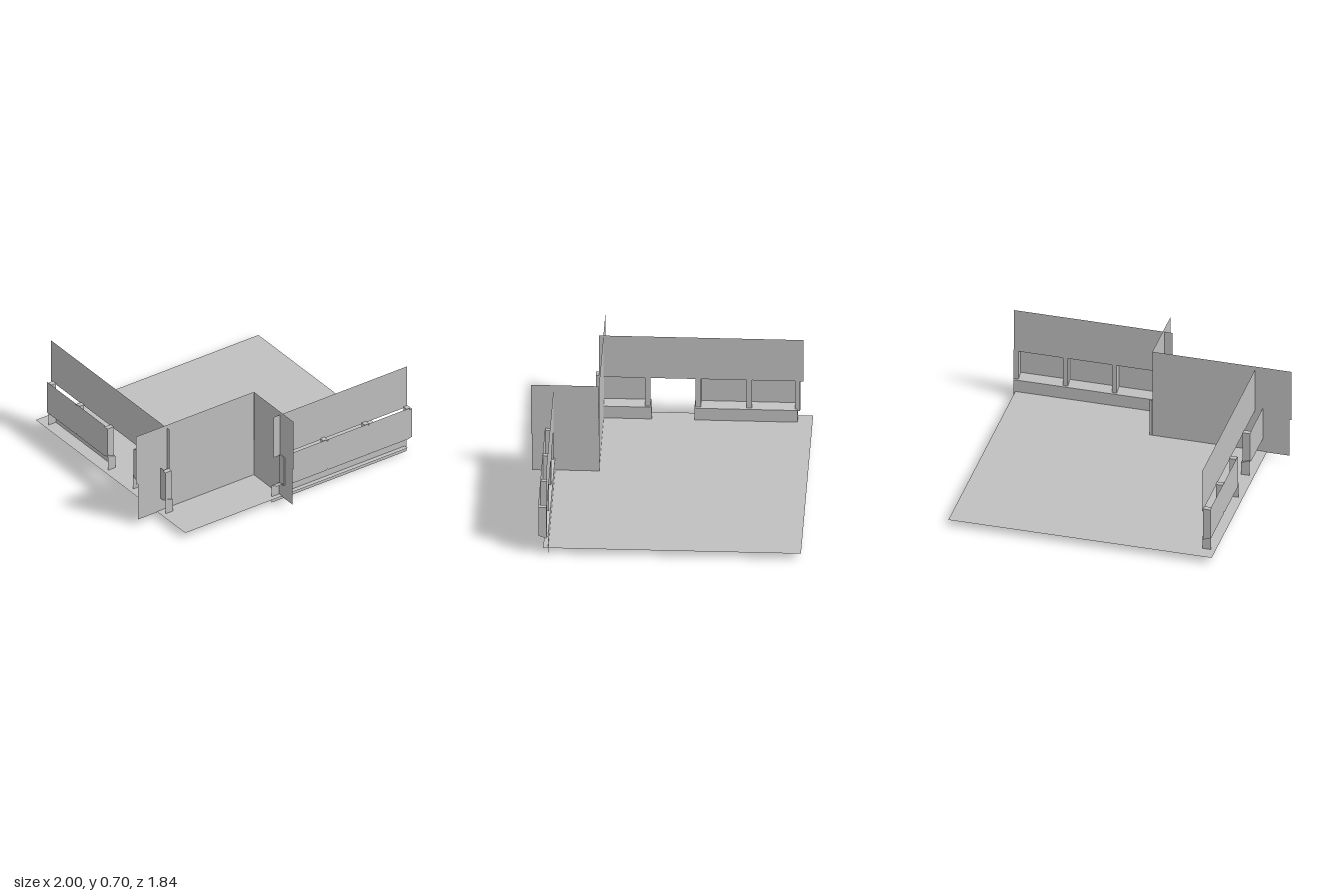
import * as THREE from 'three';

const grey = new THREE.MeshStandardMaterial({ color: 0xbfbfbf, side: THREE.DoubleSide });
grey.name = 'plainGrey';

// Single flat face from four corners
function quad(parent, name, a, b, c, d) {
  const geo = new THREE.BufferGeometry();
  geo.setAttribute('position', new THREE.Float32BufferAttribute([a, b, c, d].flat(), 3));
  geo.setIndex([0, 1, 2, 0, 2, 3]);
  geo.computeVertexNormals();
  const mesh = new THREE.Mesh(geo, grey);
  mesh.name = name;
  parent.add(mesh);
}

// Upright sheet facing +z
function sheet(parent, name, x0, x1, y0, y1, z) {
  quad(parent, name, [x0, y0, z], [x1, y0, z], [x1, y1, z], [x0, y1, z]);
}

// Window wall running along x with its outside towards +z
function windowWall(name, o) {
  const wall = new THREE.Group();
  wall.name = name;
  const { inner, outer } = o;
  sheet(wall, 'upperWall', ...o.upper, 0.355, 0.673, inner + 0.01);

  // Low wall with a sill that falls towards the inside
  for (const [a, b] of o.bases) {
    sheet(wall, 'lowWall', a, b, 0, 0.135, inner);
    quad(wall, 'sill', [a, 0.135, inner], [b, 0.135, inner], [b, 0.16, outer], [a, 0.16, outer]);
  }
  for (const u of o.caps) {
    quad(wall, 'lowWallEnd', [u, 0, inner], [u, 0.015, outer], [u, 0.16, outer], [u, 0.135, inner]);
  }

  // Posts with sloping feet that follow the sill
  for (const u of o.posts) {
    const w = o.postWidth, d = outer - inner - 0.01;
    const geo = new THREE.BoxGeometry(w, 0.225, d);
    const p = geo.attributes.position;
    for (let i = 0; i < p.count; i++) {
      if (p.getY(i) < 0) p.setY(i, p.getZ(i) > 0 ? -0.1075 : -0.1275);
    }
    geo.computeVertexNormals();
    const post = new THREE.Mesh(geo, grey);
    post.name = 'windowPost';
    post.position.set(u, 0.2525, (inner + outer) / 2 + 0.005);
    wall.add(post);
  }

  // Window panels with a narrow gap between neighbours
  for (const [a, b] of o.panes) sheet(wall, 'windowPanel', a, b, 0.14, 0.38, outer + 0.002);
  return wall;
}

export function createModel() {
  const model = new THREE.Group();
  model.name = 'roomCorner';

  // Floor
  quad(model, 'floor', [-0.83, 0.045, 0.845], [0.985, 0.045, 0.845], [0.985, 0.045, -0.87], [-0.83, 0.045, -0.87]);

  // Front window wall
  model.add(windowWall('frontWindowWall', {
    inner: 0.812, outer: 0.876,
    upper: [-0.095, 0.995],
    bases: [[-0.105, 0.997]], caps: [],
    posts: [-0.03, 0.305, 0.642, 0.982], postWidth: 0.033,
    panes: [[-0.022, 0.303], [0.309, 0.639], [0.645, 0.975]],
  }));

  // Side window wall with a doorway
  const side = windowWall('sideWindowWall', {
    inner: 0.738, outer: 0.799,
    upper: [-0.81, 0.55],
    bases: [[-0.77, -0.085], [0.2, 0.575]], caps: [-0.77, -0.085, 0.2, 0.575],
    posts: [-0.77, -0.448, -0.11, 0.227, 0.555], postWidth: 0.035,
    panes: [[-0.785, -0.452], [-0.446, -0.115], [0.225, 0.555]],
  });
  side.rotation.y = -Math.PI / 2;
  model.add(side);

  // Cross walls meeting at the inner corner
  sheet(model, 'crossWallLower', -0.985, -0.02, 0.04, 0.32, 0.52);
  sheet(model, 'crossWallUpper', -1, -0.042, 0.32, 0.697, 0.52);
  const partition = new THREE.Group();
  partition.name = 'partition';
  sheet(partition, 'partitionLower', 0.515, 0.965, 0.04, 0.32, 0.04);
  sheet(partition, 'partitionUpper', 0.522, 0.973, 0.32, 0.697, 0.04);
  partition.rotation.y = -Math.PI / 2;
  model.add(partition);
  return model;
}
